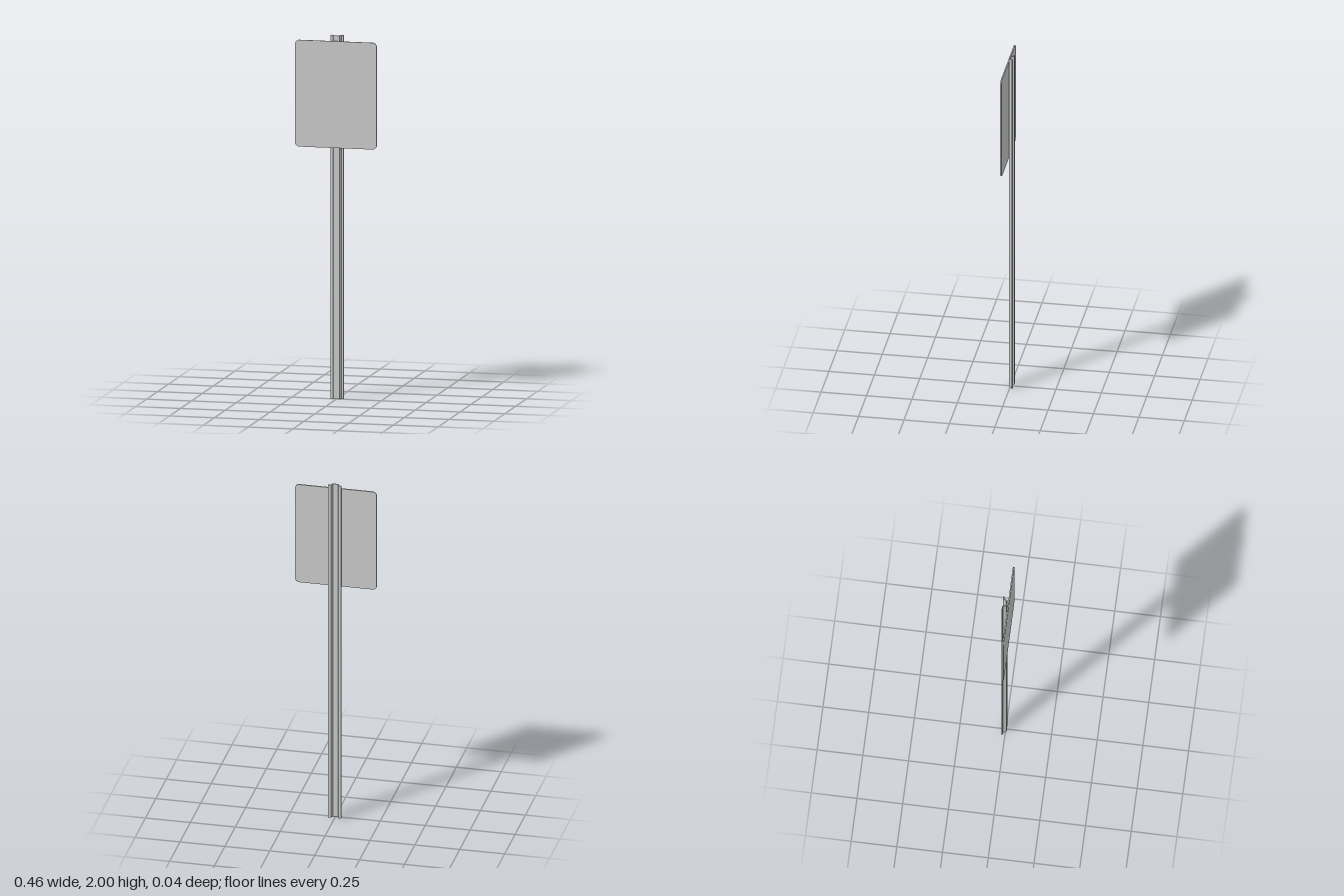
import * as THREE from 'three';

const material = new THREE.MeshStandardMaterial({ color: 0xcccccc, flatShading: true });

// Hat-shaped post section: one half as [x, z] from the back of the web,
// round the flange, to the front of the web; the other half is mirrored
function postSection() {
  const half = [
    [0.0135, 0.0005], [0.0205, -0.0178], [0.0365, -0.0178],
    [0.0365, -0.0128], [0.0240, -0.0128], [0.0165, 0.0062],
  ];
  const loop = [...half, ...half.map(([x, z]) => [-x, z]).reverse()];
  return new THREE.Shape(loop.map(([x, z]) => new THREE.Vector2(x, -z)));
}

// Rounded rectangle centred on the origin
function roundedRect(w, h, r) {
  const s = new THREE.Shape();
  const x = w / 2 - r, y = h / 2 - r;
  s.absarc(x, y, r, 0, Math.PI / 2);
  s.absarc(-x, y, r, Math.PI / 2, Math.PI);
  s.absarc(-x, -y, r, Math.PI, Math.PI * 1.5);
  s.absarc(x, -y, r, Math.PI * 1.5, Math.PI * 2);
  s.closePath();
  return s;
}

export function createModel() {
  const model = new THREE.Group();
  model.name = 'signPost';

  // Folded channel post, extruded upward
  const postGeometry = new THREE.ExtrudeGeometry(postSection(), { depth: 2, bevelEnabled: false });
  postGeometry.rotateX(-Math.PI / 2);
  const post = new THREE.Mesh(postGeometry, material);
  post.name = 'post';
  model.add(post);

  // Thin blank plate standing just in front of the post
  const plateGeometry = new THREE.ExtrudeGeometry(roundedRect(0.455, 0.587, 0.023), {
    depth: 0.007, bevelEnabled: false, curveSegments: 8,
  });
  const plate = new THREE.Mesh(plateGeometry, material);
  plate.name = 'signPlate';
  plate.position.set(0, 1.677, 0.0105);
  model.add(plate);

  return model;
}
